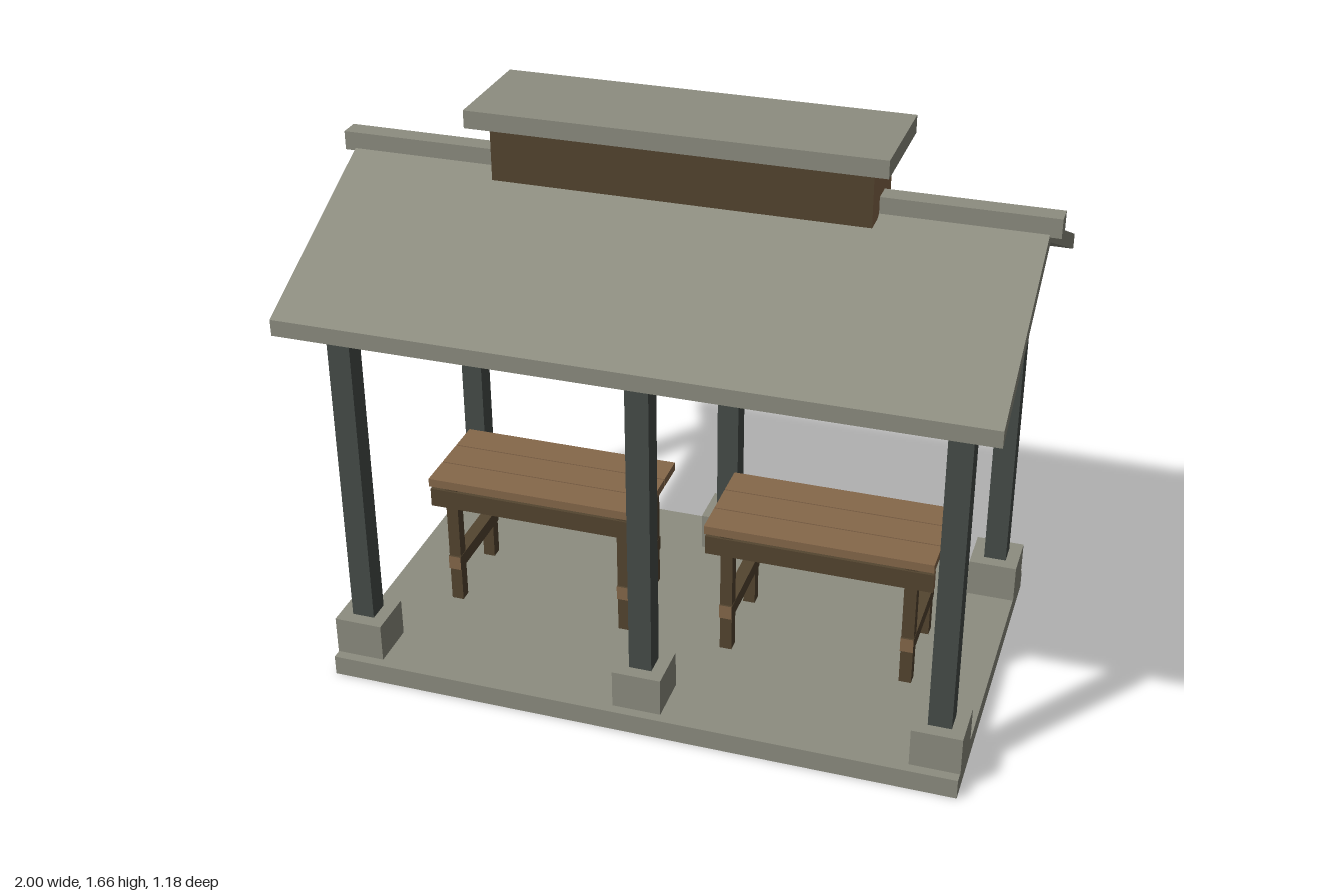
import * as THREE from 'three';

const mat = (name, color) => {
  const m = new THREE.MeshStandardMaterial({ color });
  m.name = name;
  return m;
};

export function createModel() {
  const stone = mat('stone grey', 0x8d8d80);
  const frame = mat('dark slate timber', 0x474d49);
  const wood = mat('light wood', 0x86684a);
  const bark = mat('dark wood', 0x544530);

  // Dark timber with light end grain across its long axis
  const endGrain = {
    x: [wood, wood, bark, bark, bark, bark],
    y: [bark, bark, wood, wood, bark, bark],
    z: [bark, bark, bark, bark, wood, wood],
  };

  // Box from its centre x, z and its bottom and top heights
  const box = (parent, name, material, x, z, y0, y1, w, d) => {
    const m = new THREE.Mesh(new THREE.BoxGeometry(w, y1 - y0, d), material);
    m.position.set(x, (y0 + y1) / 2, z);
    m.name = name;
    parent.add(m);
    return m;
  };

  // Gable profile given as [z, y] points, extruded along x
  const extrudeX = (parent, name, material, points, x, width) => {
    const shape = new THREE.Shape(points.map(([z, y]) => new THREE.Vector2(-z, y)));
    const geo = new THREE.ExtrudeGeometry(shape, { depth: width, bevelEnabled: false });
    geo.translate(0, 0, -width / 2);
    geo.rotateY(Math.PI / 2);
    const m = new THREE.Mesh(geo, material);
    m.position.x = x;
    m.name = name;
    parent.add(m);
  };

  const model = new THREE.Group();
  model.name = 'picnicShelter';

  // Floor slab
  box(model, 'floorSlab', stone, 0, 0, 0, 0.06, 1.84, 1.05);

  // Posts on footings, with a truss over each pair
  const timber = new THREE.Group();
  timber.name = 'timberFrame';
  model.add(timber);
  for (const x of [-0.85, 0, 0.85]) {
    for (const z of [-0.425, 0.425]) {
      box(model, 'footing', stone, x, z, 0.06, 0.175, 0.142, 0.142);
      box(timber, 'post', frame, x, z, 0.175, 1.18, 0.066, 0.066);
    }
    box(timber, 'tieBeam', frame, x, 0, 1.108, 1.165, 0.058, 0.92);
    extrudeX(timber, 'rafters', frame,
      [[0.42, 1.172], [0, 1.405], [-0.42, 1.172], [-0.37, 1.16], [0, 1.367], [0.37, 1.16]],
      x, 0.05);
  }
  for (const z of [-0.427, 0.427])
    box(timber, 'eaveBeam', frame, 0, z, 1.11, 1.187, 1.79, 0.07);

  // Gable roof, ridge cap and raised vent box
  const roof = new THREE.Group();
  roof.name = 'roof';
  model.add(roof);
  extrudeX(roof, 'roofPanels', stone,
    [[0.592, 1.14], [0.592, 1.187], [0, 1.467], [-0.592, 1.187], [-0.592, 1.14], [0, 1.42]],
    0, 1.94);
  box(roof, 'ridgeCap', stone, 0, 0, 1.446, 1.5, 2, 0.058);
  box(roof, 'ventBox', endGrain.x, 0, 0, 1.445, 1.612, 1.052, 0.216);
  box(roof, 'ventCap', stone, 0, 0, 1.61, 1.66, 1.15, 0.33);

  // Two plank tables
  for (const tx of [-0.427, 0.424]) {
    const table = new THREE.Group();
    table.name = 'table';
    table.position.x = tx;
    model.add(table);
    for (const z of [-0.104, 0, 0.104])
      box(table, 'topPlank', wood, 0, z, 0.455, 0.481, 0.665, 0.1);
    box(table, 'frontApron', endGrain.x, 0, 0.134, 0.385, 0.443, 0.663, 0.026);
    for (const x of [-0.268, 0.268]) {
      for (const z of [-0.124, 0.124])
        box(table, 'leg', endGrain.y, x, z, 0.06, 0.456, 0.036, 0.036);
      box(table, 'stretcher', endGrain.z, x, 0, 0.17, 0.214, 0.038, 0.296);
    }
  }
  return model;
}
